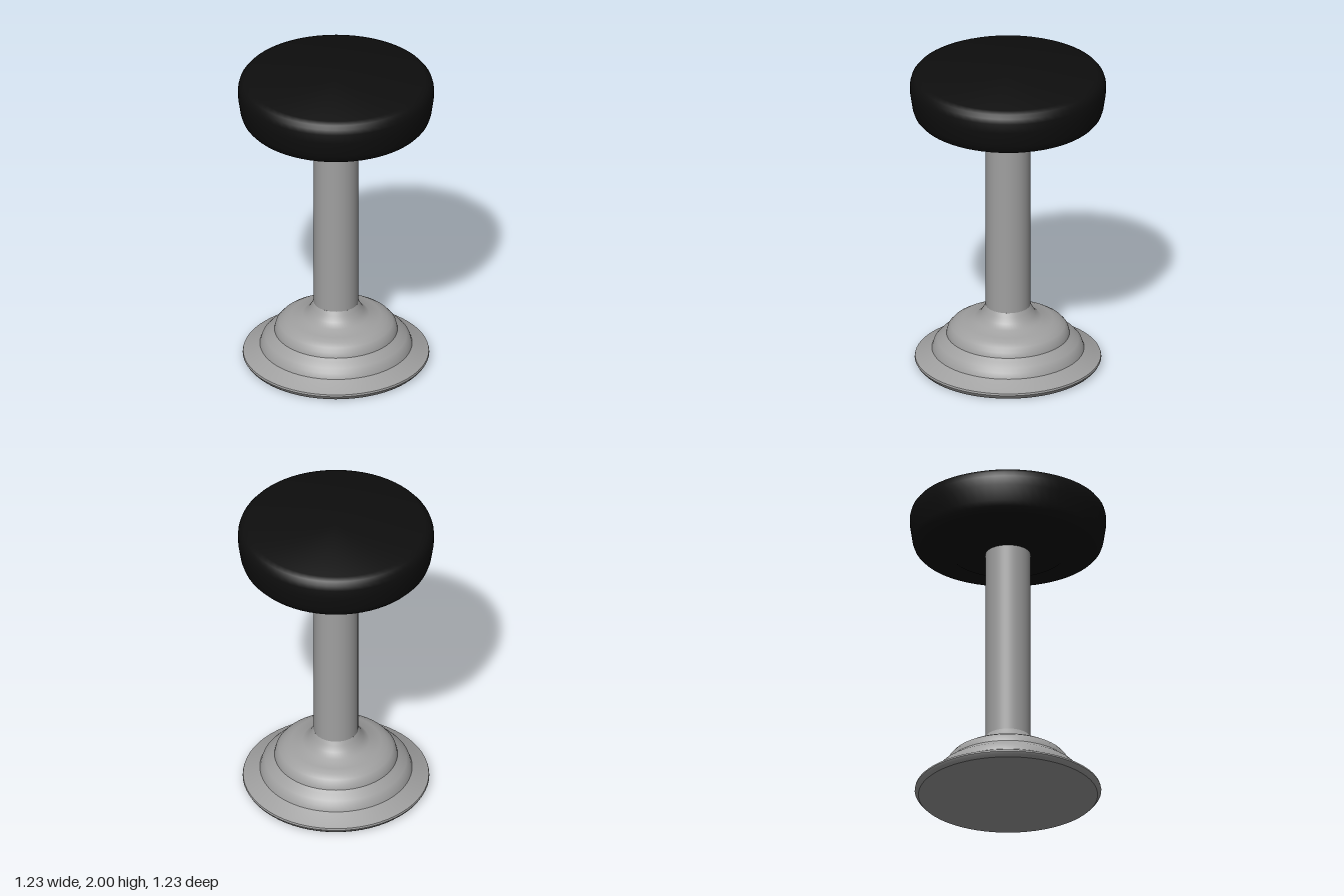
import * as THREE from 'three';
import { toCreasedNormals } from 'three/addons/utils/BufferGeometryUtils.js';

const metal = new THREE.MeshStandardMaterial({ name: 'grey metal', color: 0xa0a0a0 });
const leather = new THREE.MeshStandardMaterial({ name: 'black leather', color: 0x0e0e0e });

// Turned part from a [radius, height] profile, listed bottom to top
function turned(name, profile, material, crease) {
  const points = profile.map(([r, y]) => new THREE.Vector2(r, y));
  const geometry = toCreasedNormals(new THREE.LatheGeometry(points, 64), crease);
  const mesh = new THREE.Mesh(geometry, material);
  mesh.name = name;
  return mesh;
}

export function createModel() {
  const stool = new THREE.Group();
  stool.name = 'barStool';

  // Stepped, bell-shaped foot
  stool.add(turned('base', [
    [0, 0], [0.565, 0], [0.58, 0.015], [0.588, 0.03], [0.585, 0.042], [0.555, 0.055],
    [0.48, 0.095], [0.468, 0.13], [0.445, 0.155], [0.41, 0.18], [0.388, 0.197],
    [0.38, 0.23], [0.358, 0.255], [0.325, 0.275], [0.285, 0.29], [0.21, 0.305],
    [0.175, 0.335], [0.155, 0.37], [0.141, 0.395], [0, 0.395],
  ], metal, 0.6));

  // Straight column
  const column = new THREE.Mesh(new THREE.CylinderGeometry(0.141, 0.141, 1.31, 48), metal);
  column.name = 'column';
  column.position.y = 1.035;
  stool.add(column);

  // Round cushion with a shallow mounting boss beneath
  stool.add(turned('seat', [
    [0, 1.67], [0.335, 1.67], [0.36, 1.677], [0.385, 1.695], [0.4, 1.7],
    [0.54, 1.7], [0.57, 1.712], [0.59, 1.735], [0.602, 1.77], [0.617, 1.87],
    [0.617, 1.93], [0.608, 1.962], [0.59, 1.985], [0.56, 2], [0, 2],
  ], leather, 0.75));

  return stool;
}
